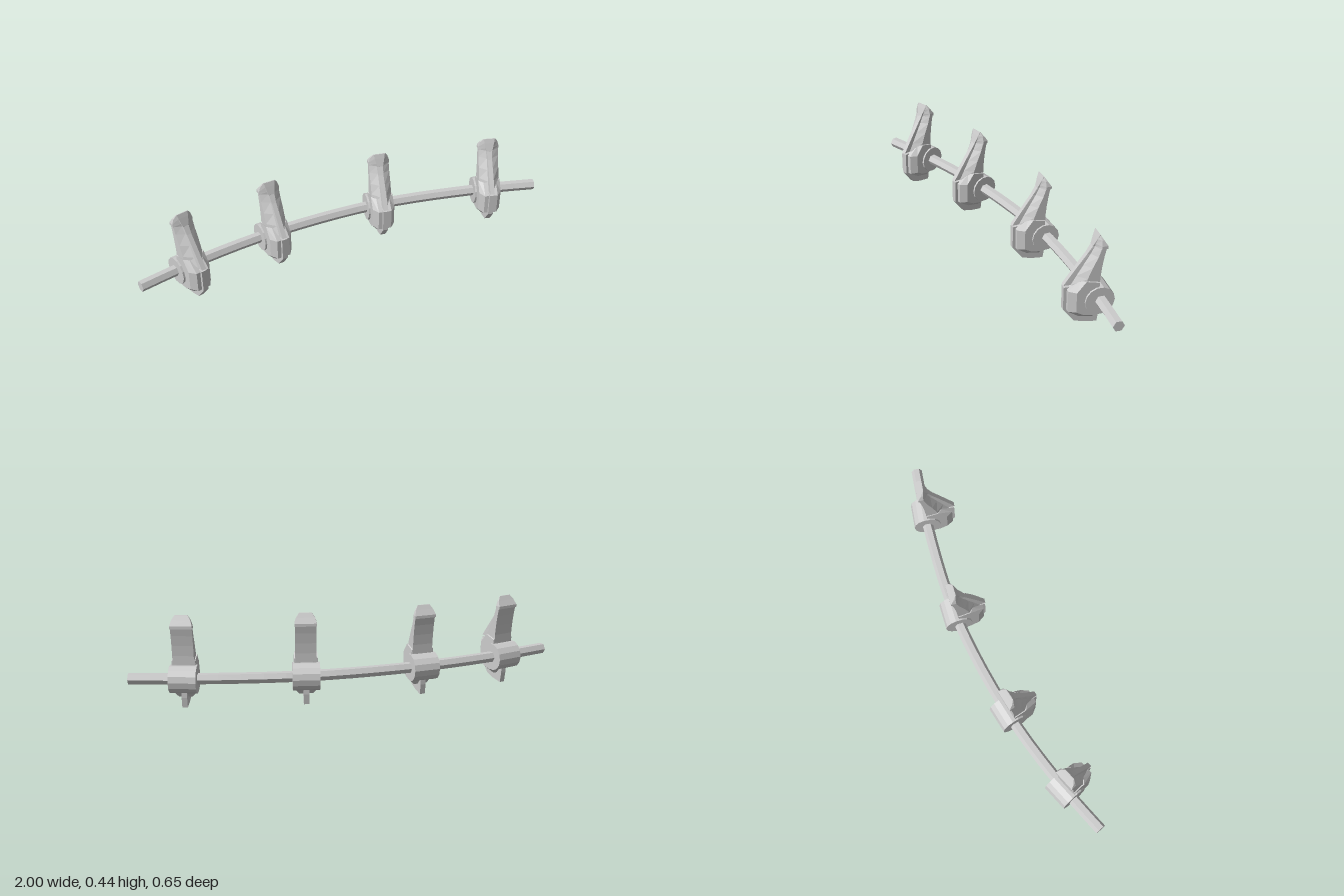
import * as THREE from 'three';

const material = new THREE.MeshStandardMaterial({ color: 0xcccccc, flatShading: true });
const AXIS_Y = 0.14; // height of the rod

// Skins a row of equal-length rings (counter-clockwise seen from the far end) and caps both ends
function loft(name, rings) {
  const pos = [];
  const tri = (a, b, c) => pos.push(...a, ...b, ...c);
  const n = rings[0].length;
  for (let i = 0; i < rings.length - 1; i++) {
    for (let j = 0; j < n; j++) {
      const k = (j + 1) % n;
      const [a, b, c, d] = [rings[i][j], rings[i][k], rings[i + 1][k], rings[i + 1][j]];
      tri(a, b, c);
      tri(a, c, d);
    }
  }
  const centre = (r) => [0, 1, 2].map((q) => r.reduce((s, p) => s + p[q], 0) / n);
  const first = rings[0], last = rings[rings.length - 1];
  const c0 = centre(first), c1 = centre(last);
  for (let j = 0; j < n; j++) {
    const k = (j + 1) % n;
    tri(c0, first[k], first[j]);
    tri(c1, last[j], last[k]);
  }
  const geometry = new THREE.BufferGeometry();
  geometry.setAttribute('position', new THREE.Float32BufferAttribute(pos, 3));
  geometry.computeVertexNormals();
  const mesh = new THREE.Mesh(geometry, material);
  mesh.name = name;
  return mesh;
}

// Side outline given as [z, y] pairs, placed at a given x
const sideRing = (x, outline) => outline.map(([z, y]) => [x, y, z]);

function createHook() {
  const hook = new THREE.Group();

  // Barrel around the rod
  const barrel = new THREE.Mesh(new THREE.CylinderGeometry(0.067, 0.067, 0.128, 14), material);
  barrel.name = 'barrel';
  barrel.rotation.z = Math.PI / 2;
  barrel.position.y = AXIS_Y - 0.001;
  hook.add(barrel);

  // Chamfered collar wrapping the front of the barrel
  const rim = [[0.08, 0.236], [0.134, 0.19], [0.134, 0.088], [0.085, 0.057], [0.02, 0.045], [0, 0.07], [0, 0.236]];
  const face = [[0.062, 0.24], [0.103, 0.19], [0.103, 0.092], [0.066, 0.072], [0.022, 0.066], [0.004, 0.078], [0.002, 0.225]];
  hook.add(loft('collar', [
    sideRing(-0.055, face), sideRing(-0.032, rim), sideRing(0.032, rim), sideRing(0.055, face),
  ]));

  // Thin keel under and in front of the collar
  const keel = [[0.06, 0.2], [0.148, 0.2], [0.148, 0.088], [0.097, 0.023], [0.05, 0.009], [-0.009, 0.001], [-0.017, 0.052], [-0.017, 0.075]];
  hook.add(loft('keel', [sideRing(-0.013, keel), sideRing(0.013, keel)]));

  // Upright blade: [y, back z, half width, shoulder z, fin root z, fin front z, fin half width]
  const sections = [
    [0.209, 0.0, 0.05, 0.066, 0.118, 0.15, 0.011],
    [0.25, -0.001, 0.05, 0.056, 0.094, 0.121, 0.011],
    [0.3, -0.006, 0.05, 0.036, 0.064, 0.085, 0.011],
    [0.35, -0.014, 0.05, 0.012, 0.034, 0.048, 0.011],
    [0.386, -0.022, 0.05, 0.0, 0.018, 0.026, 0.014],
    [0.3865, -0.028, 0.052, 0.0, 0.018, 0.026, 0.014],
    [0.4, -0.028, 0.052, -0.002, 0.016, 0.021, 0.018],
    [0.425, -0.012, 0.044, -0.002, 0.01, 0.012, 0.024],
    [0.445, 0.0, 0.03, 0.001, 0.003, 0.004, 0.028],
  ];
  hook.add(loft('blade', sections.map(([y, zb, w, zm, zk, zf, r]) => {
    const half = [[r, zf], [r + 0.002, zk], [w, zm], [w, zb]];
    const mirrored = half.map(([x, z]) => [-x, z]).reverse();
    return [...half, ...mirrored].map(([x, z]) => [x, y, z]);
  })));
  return hook;
}

// Six-sided rod swept along a curve in the ground plane
function createRod() {
  const points = [[-1, -0.263], [-0.752, -0.259], [-0.307, -0.212], [0.246, -0.069], [0.76, 0.17], [0.985, 0.3]];
  const curve = new THREE.CatmullRomCurve3(points.map(([x, z]) => new THREE.Vector3(x, AXIS_Y, z)));
  const rings = [];
  const steps = 20, radius = 0.0268;
  for (let i = 0; i <= steps; i++) {
    const p = curve.getPointAt(i / steps), t = curve.getTangentAt(i / steps);
    rings.push(Array.from({ length: 6 }, (_, j) => {
      const a = (j * Math.PI) / 3, out = radius * Math.cos(a);
      return [p.x - t.z * out, p.y - radius * Math.sin(a), p.z + t.x * out];
    }));
  }
  return loft('rod', rings);
}

export function createModel() {
  const model = new THREE.Group();
  model.name = 'hookRail';
  model.add(createRod());

  // Four hooks turned to follow the rod: [x, z, degrees]
  const places = [[-0.752, -0.258, 0], [-0.307, -0.212, 10], [0.246, -0.067, 25], [0.76, 0.172, 31]];
  places.forEach(([x, z, deg], i) => {
    const hook = createHook();
    hook.name = `hook${i + 1}`;
    hook.position.set(x, 0, z);
    hook.rotation.y = -THREE.MathUtils.degToRad(deg);
    model.add(hook);
  });
  return model;
}
